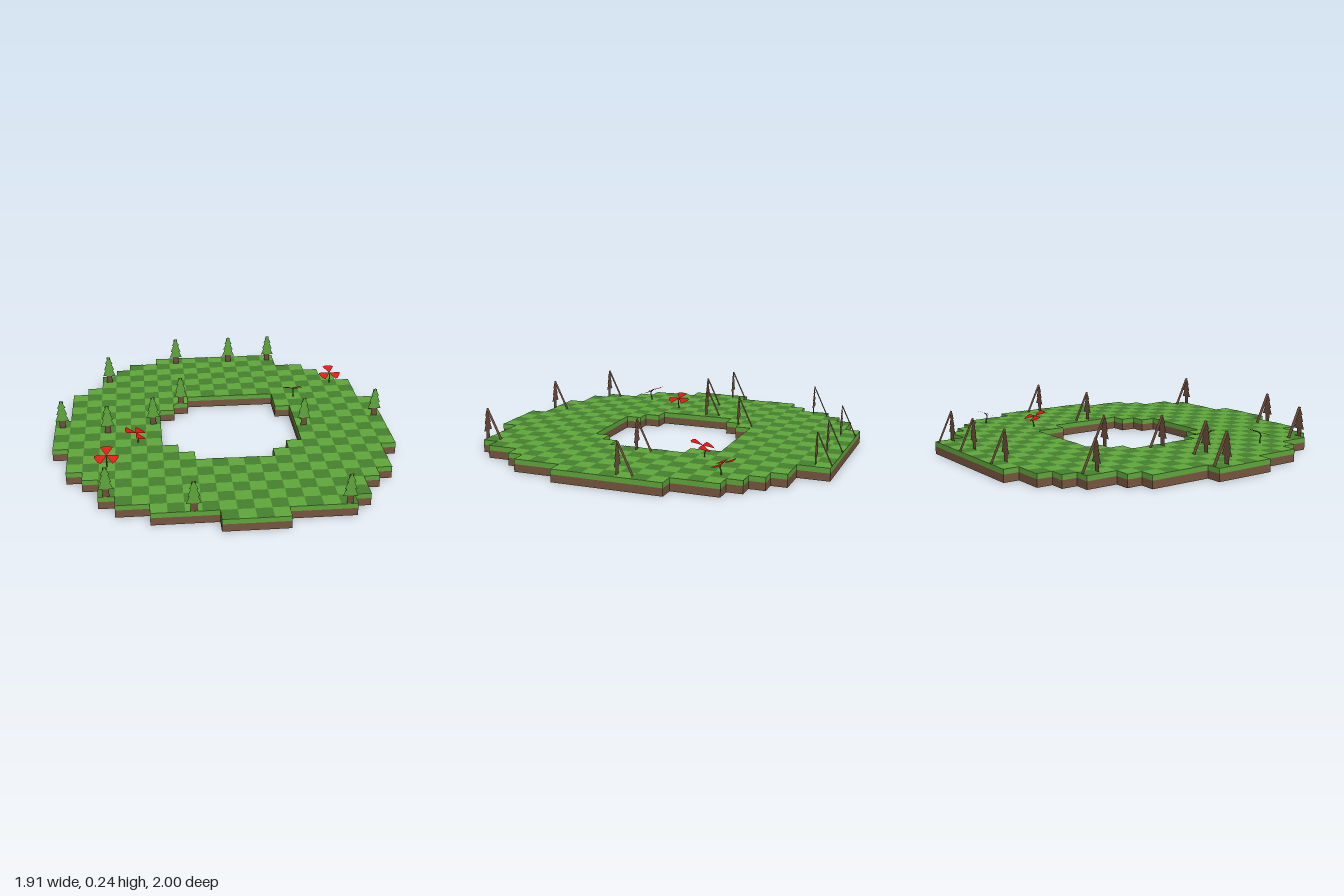
import * as THREE from 'three';
import { mergeGeometries } from 'three/addons/utils/BufferGeometryUtils.js';

const T = 2 / 23; // tile size
const TOP = 0.07, SOIL = 0.042;
const tileX = c => (c + 0.5 - 11) * T;
const tileZ = r => (r + 0.5 - 11.5) * T;

// Filled column range [start, end) of each row, back to front
const ROWS = [
  [7, 16], [5, 16], [4, 18], [3, 19], [3, 20], [2, 21], [1, 21], [1, 21], [1, 22], [1, 22], [0, 22], [0, 22],
  [0, 22], [0, 22], [1, 22], [1, 21], [1, 21], [2, 21], [3, 20], [3, 19], [4, 19], [6, 18], [10, 14],
];
// Columns left open in the middle, by row
const HOLE = { 7: [9, 15], 8: [8, 15], 9: [7, 16], 10: [7, 16], 11: [7, 16], 12: [7, 16], 13: [7, 16], 14: [8, 15], 15: [9, 14] };
const TREES = [[8, 0], [12, 0], [15, 0], [3, 3], [8, 7], [0, 10], [6, 10], [21, 10], [3, 11], [16, 11], [3, 19], [8, 21], [17, 21]];
// Column, row and heading of the raised petal
const FLOWERS = [[19, 5, Math.PI], [16, 7, 0], [5, 13, -Math.PI / 2], [3, 16, Math.PI]];

const mat = (name, color, side = THREE.FrontSide) => {
  const m = new THREE.MeshStandardMaterial({ color, side });
  m.name = name;
  return m;
};

function named(name, geometry, material) {
  const m = new THREE.Mesh(geometry, material);
  m.name = name;
  return m;
}

function shape(points) {
  return new THREE.ShapeGeometry(new THREE.Shape(points.map(p => new THREE.Vector2(...p))));
}

// Mirror a right-hand outline into a closed symmetric shape
const symmetric = half => shape([...half, ...half.slice().reverse().map(([x, y]) => [-x, y])]);

export function createModel() {
  const lightGreen = mat('light green', 0x5fa83c);
  const darkGreen = mat('dark green', 0x48822f);
  const soilBrown = mat('soil brown', 0x78553f);
  const barkBrown = mat('bark brown', 0x6f4e3c, THREE.DoubleSide);
  const red = mat('red', 0xe01414, THREE.DoubleSide);

  const model = new THREE.Group();
  model.name = 'ringIsland';

  // Ground: one box per run of tiles, with darker checker plates on top
  const runs = ROWS.flatMap(([a, b], r) => {
    const h = HOLE[r];
    return h ? [[r, a, h[0]], [r, h[1], b]] : [[r, a, b]];
  });
  const slab = (y0, y1) => mergeGeometries(runs.map(([r, a, b]) =>
    new THREE.BoxGeometry((b - a) * T, y1 - y0, T).translate((tileX(a) + tileX(b - 1)) / 2, (y0 + y1) / 2, tileZ(r))));
  const checks = [];
  for (const [r, a, b] of runs) {
    for (let c = a; c < b; c++) {
      if ((c + r) % 2 === 0) {
        checks.push(new THREE.PlaneGeometry(T, T).rotateX(-Math.PI / 2).translate(tileX(c), TOP + 0.0012, tileZ(r)));
      }
    }
  }
  model.add(
    named('soil', slab(0, SOIL), soilBrown),
    named('turf', slab(SOIL, TOP), lightGreen),
    named('darkTiles', mergeGeometries(checks), darkGreen),
  );

  // Tree: a cut-out board with painted front, brown back and a slanted prop
  const foliage = symmetric([[0.039, 0.045], [0.022, 0.086], [0.031, 0.086], [0.015, 0.128], [0.023, 0.128], [0.002, 0.172]]);
  const trunk = new THREE.PlaneGeometry(0.034, 0.047).translate(0, 0.0235, 0);
  const back = foliage.clone().rotateY(Math.PI).translate(0, 0, -0.002);
  const propRun = T - 0.006, propRise = 0.17;
  const prop = new THREE.PlaneGeometry(0.022, Math.hypot(propRun, propRise))
    .rotateX(Math.atan2(propRun, propRise))
    .translate(0, propRise / 2, -propRun / 2 - 0.003);
  for (const [c, r] of TREES) {
    const tree = new THREE.Group();
    tree.name = 'tree';
    tree.add(
      named('foliage', foliage, lightGreen),
      named('foliageBack', back, barkBrown),
      named('trunk', trunk, barkBrown),
      named('prop', prop, barkBrown),
    );
    tree.position.set(tileX(c), TOP, tileZ(r) + T / 2 - 0.001);
    model.add(tree);
  }

  // Flower: curved stem and three wedge petals on a tilted head
  const stem = new THREE.TubeGeometry(new THREE.CatmullRomCurve3([
    new THREE.Vector3(0, 0, 0.004), new THREE.Vector3(0, 0.02, 0.003), new THREE.Vector3(0, 0.038, -0.003),
    new THREE.Vector3(0, 0.054, 0.002), new THREE.Vector3(0, 0.063, 0.013),
  ]), 16, 0.0035, 6);
  const petal = symmetric([[0.0015, 0], [0.034, 0.056], [0.018, 0.064]]).rotateX(Math.PI / 2);
  for (const [c, r, heading] of FLOWERS) {
    const flower = new THREE.Group();
    flower.name = 'flower';
    const head = new THREE.Group();
    head.name = 'flowerHead';
    for (let i = 0; i < 3; i++) {
      const p = named('petal', petal, red);
      p.rotation.y = i * Math.PI * 2 / 3;
      head.add(p);
    }
    head.position.set(0, 0.064, 0.014);
    head.rotation.x = -0.36;
    flower.add(named('stem', stem, darkGreen), head);
    flower.position.set(tileX(c), TOP, tileZ(r));
    flower.rotation.y = heading;
    model.add(flower);
  }
  return model;
}
